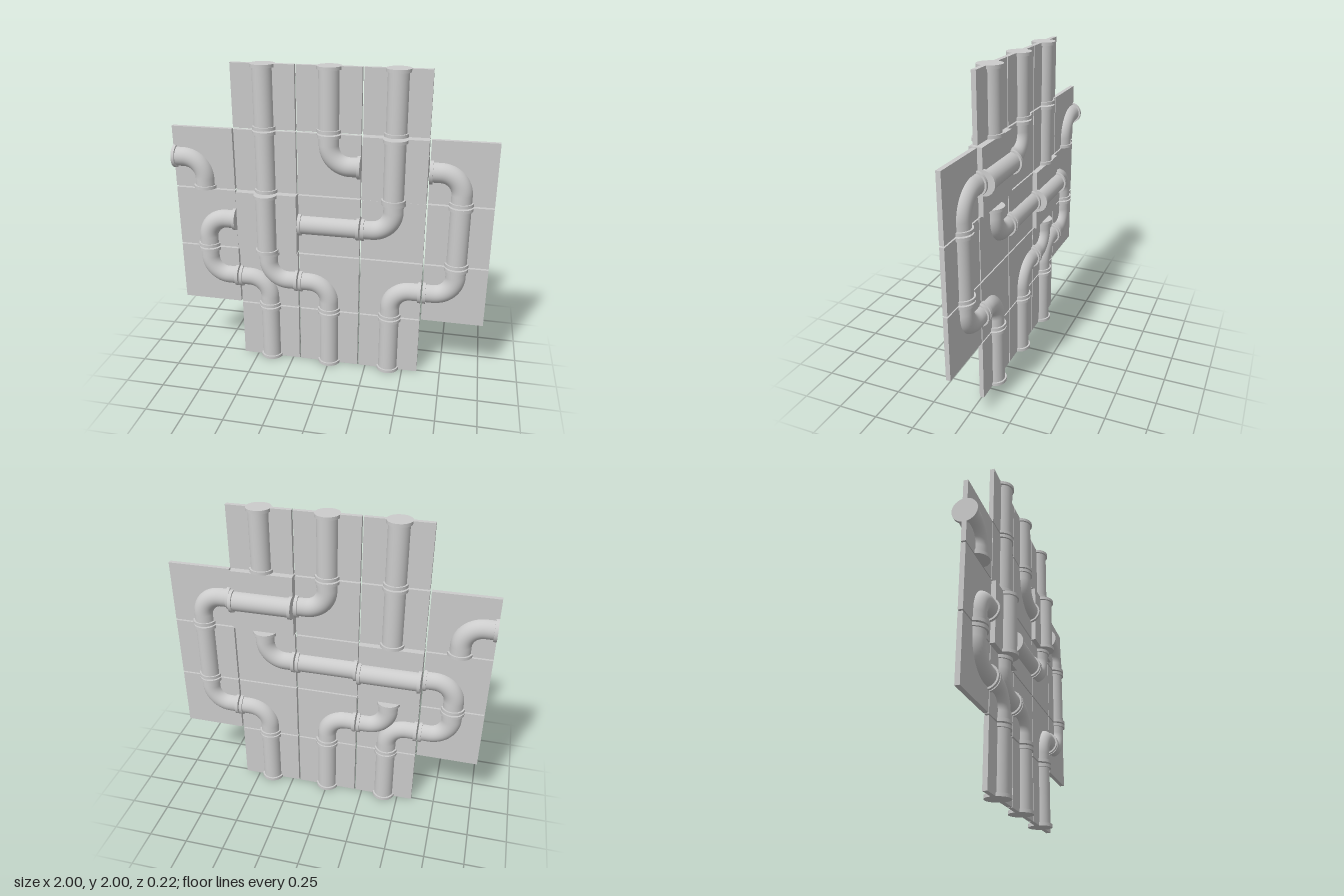
import * as THREE from 'three';

const PITCH = 0.402, SIZE = 0.392, HALF = SIZE / 2;
const PIPE_R = 0.064, FLANGE_R = 0.075, FLANGE_L = 0.02;
const BEND = 0.13, OFFSET = 0.036, SIDES = 32;

const DIR = { U: [0, 1], D: [0, -1], L: [-1, 0], R: [1, 0] };

// Rows from top to bottom; each tile lists the edges its pipes join.
const LAYOUT = [
  [null, 'UD', 'UD', 'UD', null],
  ['LD', 'UD', 'UR', 'cross', 'LD'],
  ['RD', 'cross', 'LR', 'LU', 'UD'],
  ['UR', 'LD UR', 'LD', 'RD', 'UL'],
  [null, 'UD', 'UD', 'UD', null],
];

export function createModel() {
  const model = new THREE.Group();
  model.name = 'pipeTiles';
  const material = new THREE.MeshStandardMaterial({ color: 0xcccccc });

  function add(parent, name, geometry) {
    const mesh = new THREE.Mesh(geometry, material);
    mesh.name = name;
    parent.add(mesh);
    return mesh;
  }

  // Cylinder along a direction, between two distances from the tile centre
  function rod(parent, name, d, from, to, radius) {
    const mesh = add(parent, name, new THREE.CylinderGeometry(radius, radius, to - from, SIDES));
    const mid = (from + to) / 2;
    mesh.position.set(d[0] * mid, d[1] * mid, 0);
    if (d[0]) mesh.rotation.z = Math.PI / 2;
  }

  // Pipe joining two tile edges, straight or as a quarter bend, with end flanges
  function pipe(parent, ends, z = 0) {
    const group = new THREE.Group();
    group.name = 'pipe';
    group.position.z = z;
    parent.add(group);
    const [a, b] = [...ends].map((key) => DIR[key]);
    for (const d of [a, b]) rod(group, 'flange', d, HALF - FLANGE_L, HALF, FLANGE_R);

    const sx = a[0] + b[0], sy = a[1] + b[1];
    if (sx === 0 && sy === 0) {
      rod(group, 'straightPipe', a, -HALF + 0.005, HALF - 0.005, PIPE_R);
      return;
    }
    for (const d of [a, b]) rod(group, 'pipeEnd', d, BEND, HALF - 0.005, PIPE_R);
    const bend = add(group, 'elbow', new THREE.TorusGeometry(BEND, PIPE_R, SIDES, 16, Math.PI / 2));
    bend.position.set(sx * BEND, sy * BEND, 0);
    bend.rotation.z = Math.atan2(-sy, -sx) - Math.PI / 4;
  }

  LAYOUT.forEach((row, r) => row.forEach((type, c) => {
    if (!type) return;
    const tile = new THREE.Group();
    tile.name = 'tile';
    tile.position.set((c - 2) * PITCH, 1 + (2 - r) * PITCH, 0);
    model.add(tile);

    // Crossing tiles are thicker so one pipe passes in front and one behind
    const crossing = type === 'cross';
    add(tile, 'panel', new THREE.BoxGeometry(SIZE, SIZE, crossing ? 0.078 : 0.028));
    if (crossing) {
      pipe(tile, 'UD', OFFSET);
      pipe(tile, 'LR', -OFFSET);
    } else {
      for (const ends of type.split(' ')) pipe(tile, ends);
    }
  }));

  return model;
}
